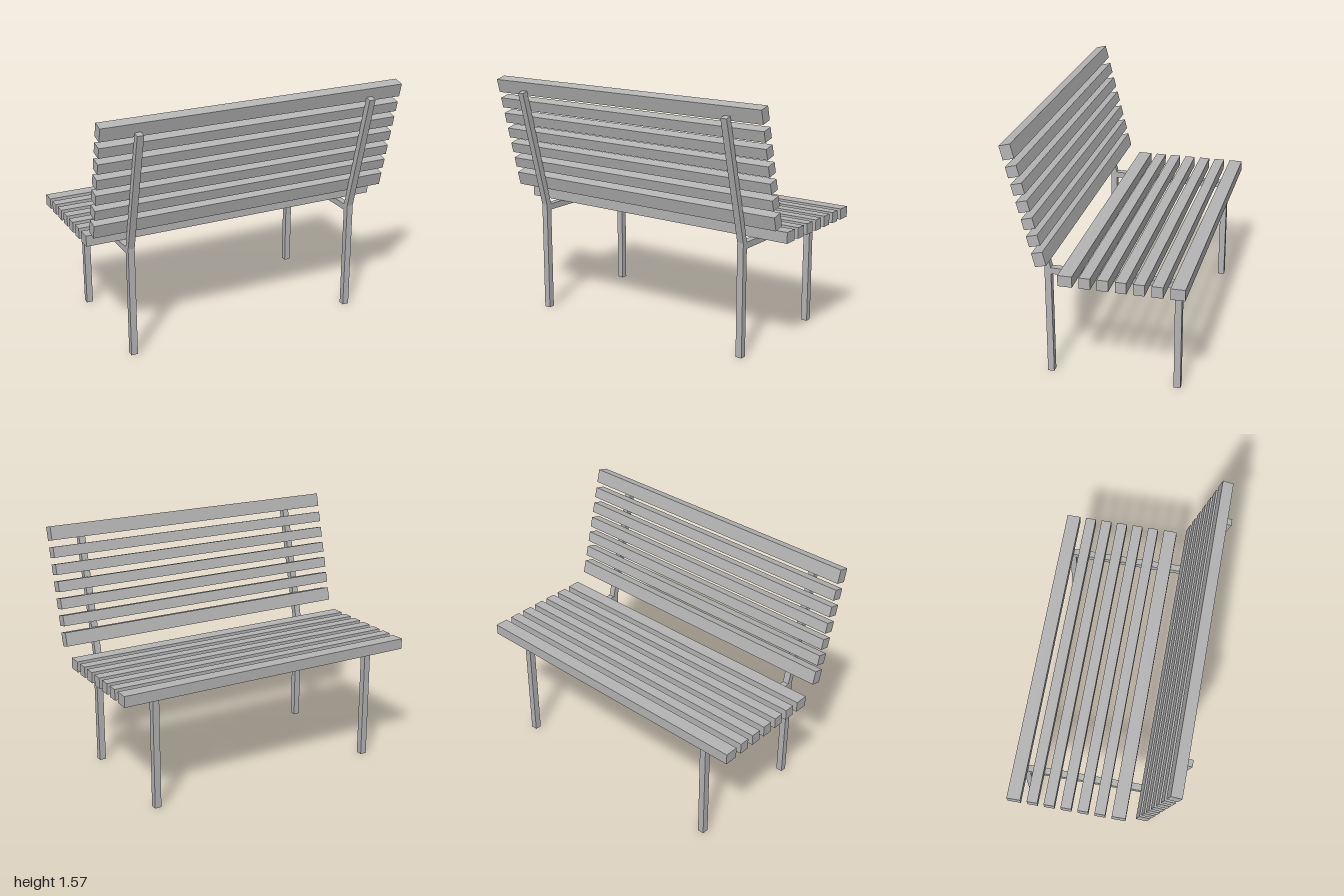
import * as THREE from 'three';

const SLAT_LENGTH = 2;
const SLAT_THICKNESS = 0.069;
const BAR = 0.042;

export function createModel() {
  const bench = new THREE.Group();
  bench.name = 'bench';
  const grey = new THREE.MeshStandardMaterial({ color: 0xb4b4b4 });
  grey.name = 'plain grey';

  // Side frame: legs, seat rail and leaning back post in one outline (-z, y)
  const outline = [
    [-0.35, 0], [-0.31, 0], [-0.31, 0.68], [0.448, 0.68], [0.448, 0], [0.49, 0],
    [0.49, 0.72], [-0.31, 0.72], [-0.508, 1.5], [-0.547, 1.49], [-0.35, 0.72],
  ].map(([x, y]) => new THREE.Vector2(x, y));
  const frameGeometry = new THREE.ExtrudeGeometry(new THREE.Shape(outline), {
    depth: BAR, bevelEnabled: false,
  });
  frameGeometry.translate(0, 0, -BAR / 2);
  frameGeometry.rotateY(Math.PI / 2);
  for (const side of [1, -1]) {
    const frame = new THREE.Mesh(frameGeometry, grey);
    frame.name = side > 0 ? 'leftFrame' : 'rightFrame';
    frame.position.x = side * 0.77;
    bench.add(frame);
  }

  // Panel of seven slats spaced along its local y; the outer two are wider
  function slatPanel(name) {
    const panel = new THREE.Group();
    panel.name = name;
    for (let i = -3; i <= 3; i++) {
      const outer = Math.abs(i) === 3;
      const slat = new THREE.Mesh(
        new THREE.BoxGeometry(SLAT_LENGTH, outer ? 0.087 : 0.067, SLAT_THICKNESS), grey);
      slat.name = name + 'Slat';
      slat.position.y = outer ? Math.sign(i) * 0.333 : i * 0.1073;
      panel.add(slat);
    }
    bench.add(panel);
    return panel;
  }

  // Seat lies flat on the rails
  const seat = slatPanel('seat');
  seat.rotation.x = Math.PI / 2;
  seat.position.set(0, 0.755, -0.174);

  // Backrest leans with the posts
  const backrest = slatPanel('backrest');
  backrest.rotation.x = THREE.MathUtils.degToRad(14.3);
  backrest.position.set(0, 1.2, 0.393);

  return bench;
}
